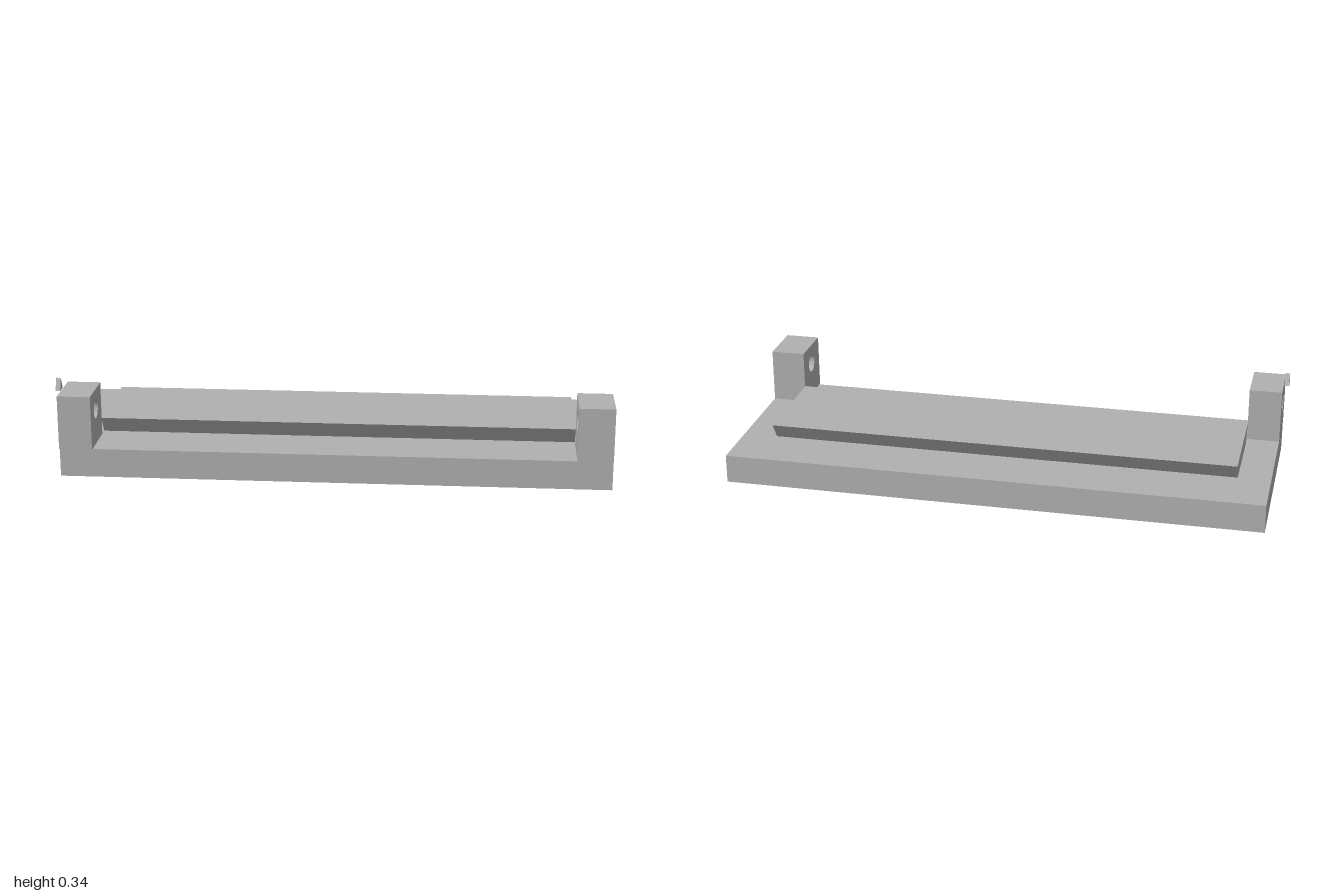
import * as THREE from 'three';

const grey = new THREE.MeshStandardMaterial({ color: 0xb0b0b0 });
grey.name = 'plain grey';

const polygon = (Type, points) => new Type(points.map(([a, b]) => new THREE.Vector2(a, b)));
const rect = (Type, a0, a1, b0, b1) => polygon(Type, [[a0, b0], [a1, b0], [a1, b1], [a0, b1]]);

function addMesh(group, name, geometry) {
  const mesh = new THREE.Mesh(geometry, grey);
  mesh.name = name;
  group.add(mesh);
}

// Extrude a (z, y) profile along x from x0 to x1
function alongX(shape, x0, x1) {
  return new THREE.ExtrudeGeometry(shape, { depth: x1 - x0, bevelEnabled: false, curveSegments: 24 })
    .rotateY(-Math.PI / 2)
    .translate(x1, 0, 0);
}

export function createModel() {
  const model = new THREE.Group();
  model.name = 'platform';

  const x0 = -0.98, x1 = 1, back = -0.37, front = 0.36;
  const midX = (x0 + x1) / 2;
  const recess = 0.07, baseTop = 0.105;

  // Lower base layer, open below for two slots and a hexagonal socket
  const floor = rect(THREE.Shape, x0, x1, -front, -back);
  for (const side of [-1, 1]) {
    floor.holes.push(rect(THREE.Path, midX + side * 0.52 - 0.208, midX + side * 0.52 + 0.208, 0.135, 0.295));
  }
  const hex = Array.from({ length: 6 }, (_, i) => {
    const t = Math.PI / 2 + i * Math.PI / 3;
    return [midX + 0.063 * Math.cos(t), 0.063 * Math.sin(t)];
  });
  floor.holes.push(polygon(THREE.Path, hex));
  addMesh(model, 'baseLower', new THREE.ExtrudeGeometry(floor, { depth: recess, bevelEnabled: false })
    .rotateX(-Math.PI / 2));

  // Solid upper base layer closes the recesses
  addMesh(model, 'baseUpper', new THREE.BoxGeometry(x1 - x0, baseTop - recess, front - back)
    .translate(midX, (recess + baseTop) / 2, (front + back) / 2));

  // Dovetail bed, wider at the top
  const bed = polygon(THREE.Shape, [[0.15, baseTop], [0.188, 0.167], [-0.203, 0.167], [-0.162, baseTop]]);
  addMesh(model, 'dovetailBed', alongX(bed, -0.86, 0.873));

  // Pierced posts at both front corners, slightly overhanging the base
  const post = rect(THREE.Shape, 0.185, 0.37, baseTop, 0.303);
  post.holes.push(new THREE.Path().absarc(0.278, 0.23, 0.034, 0, Math.PI * 2, true));
  addMesh(model, 'rightPost', alongX(post, x0, -0.86));
  addMesh(model, 'leftPost', alongX(post, 0.873, x1));

  // Small triangular pointer on the outside of the right post
  const pointer = polygon(THREE.Shape, [[0.257, 0.302], [0.299, 0.302], [0.278, 0.345]]);
  addMesh(model, 'pointer', alongX(pointer, -1, -0.983));

  return model;
}
